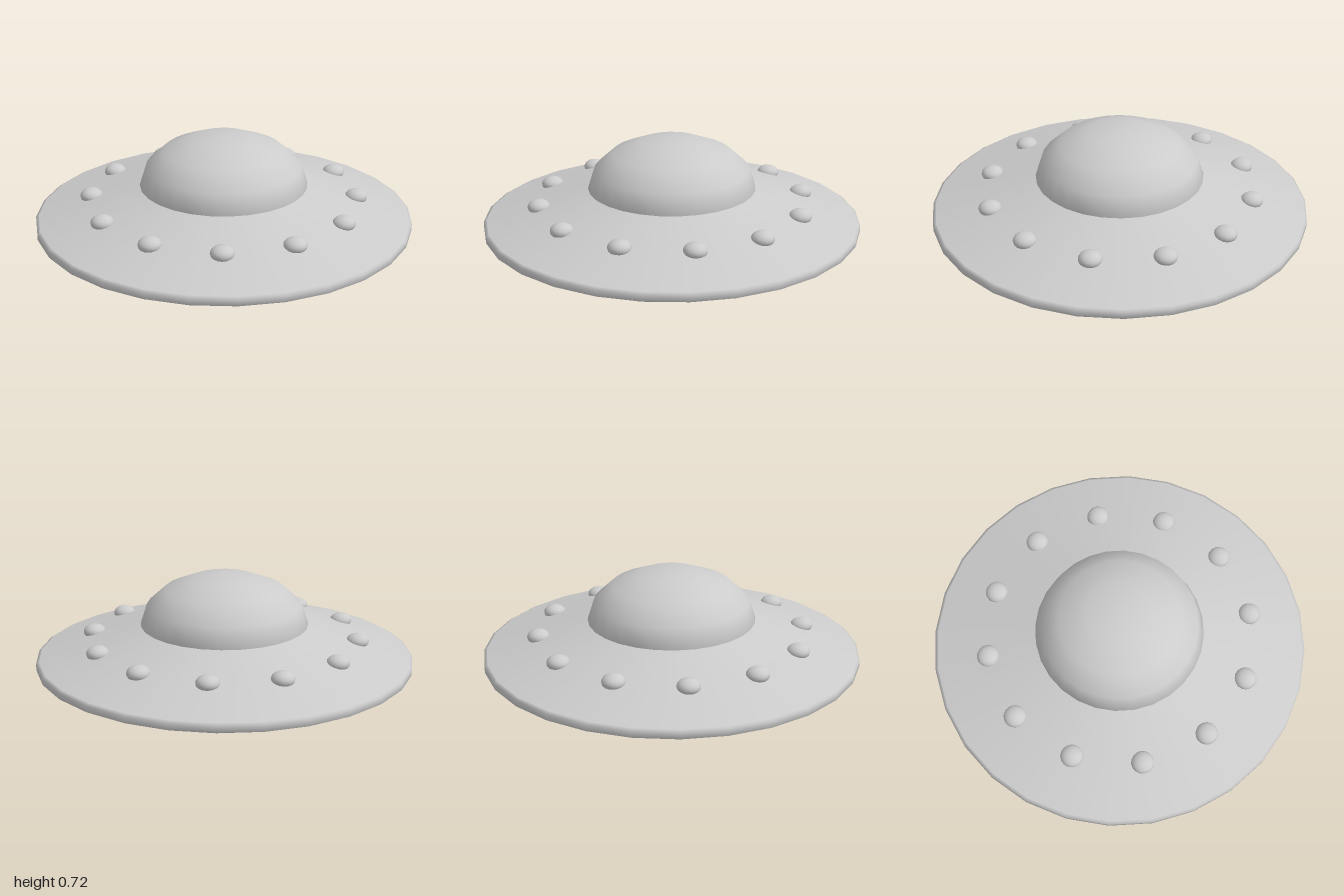
import * as THREE from 'three';

const SIDES = 28;

export function createModel() {
  const saucer = new THREE.Group();
  saucer.name = 'saucer';
  const material = new THREE.MeshStandardMaterial({ color: 0xcccccc, side: THREE.DoubleSide });

  function add(name, geometry, parent = saucer) {
    const mesh = new THREE.Mesh(geometry, material);
    mesh.name = name;
    parent.add(mesh);
    return mesh;
  }

  // Revolve a profile of [radius, height] pairs, listed from bottom to top
  const lathe = (points, sides = SIDES) =>
    new THREE.LatheGeometry(points.map(([r, y]) => new THREE.Vector2(r, y)), sides);

  // Disc-shaped hull: conical belly, rounded rim, sloping deck
  add('belly', lathe([[0.18, 0.025], [0.985, 0.234]]));
  add('rim', lathe([[0.985, 0.234], [1, 0.242], [1, 0.275], [0.985, 0.284]]));
  add('deck', lathe([[0.985, 0.284], [0.44, 0.446]]));

  // Short collar under the belly with a recessed port
  add('portCollar', lathe([[0.165, 0], [0.18, 0.025]]));
  add('portWall', lathe([[0.08, 0.14], [0.165, 0]]));
  add('portCeiling', lathe([[0, 0.14], [0.08, 0.14]]));

  // Flattened cockpit dome
  const dome = add('dome', new THREE.SphereGeometry(0.445, SIDES, 4, 0, Math.PI * 2, 0, Math.PI / 2));
  dome.scale.y = 0.607;
  dome.position.y = 0.445;

  // Ring of twelve lights set into the deck
  const lights = new THREE.Group();
  lights.name = 'lights';
  saucer.add(lights);
  const lightGeometry = new THREE.SphereGeometry(0.06, 16, 10);
  for (let i = 0; i < 12; i++) {
    const angle = (i / 12) * Math.PI * 2;
    const light = add('light', lightGeometry, lights);
    light.position.set(Math.sin(angle) * 0.706, 0.37, Math.cos(angle) * 0.706);
    light.rotation.y = angle;
    light.scale.y = 0.68;
  }

  return saucer;
}
